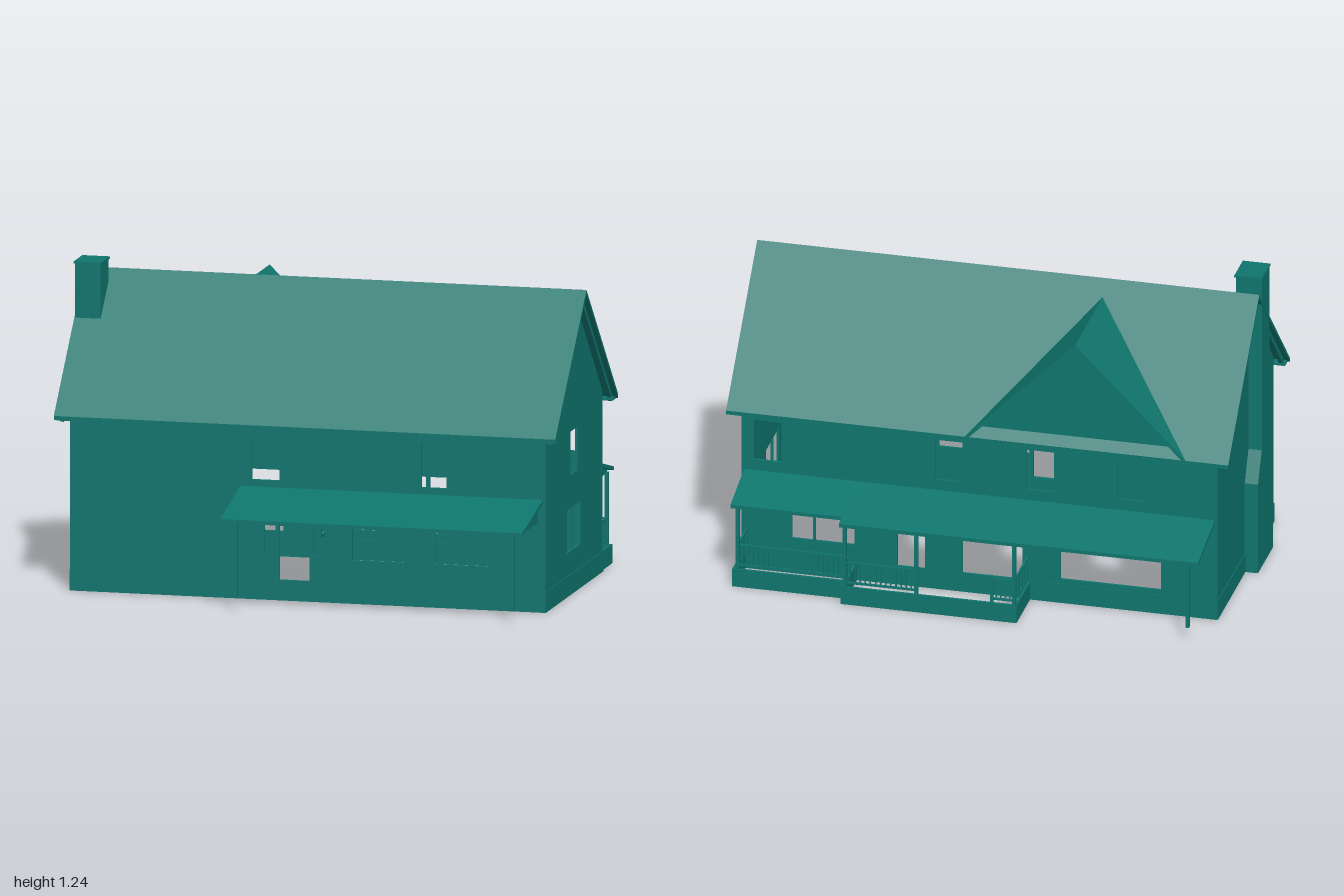
import * as THREE from 'three';

const mat = new THREE.MeshStandardMaterial({ color: 0x0f766e, side: THREE.DoubleSide, flatShading: true });

export function createModel() {
  const house = new THREE.Group();
  house.name = 'farmhouse';

  const add = (name, geo, parent = house) => {
    const m = new THREE.Mesh(geo, mat);
    m.name = name;
    parent.add(m);
    return m;
  };
  // Box given by its minimum and maximum corners
  const box = (name, x0, x1, y0, y1, z0, z1, parent) => {
    const m = add(name, new THREE.BoxGeometry(x1 - x0, y1 - y0, z1 - z0), parent);
    m.position.set((x0 + x1) / 2, (y0 + y1) / 2, (z0 + z1) / 2);
    return m;
  };
  // Outline with rectangular holes [u0, u1, v0, v1]
  const outline = (pts, holes = []) => {
    const s = new THREE.Shape(pts.map(p => new THREE.Vector2(...p)));
    for (const [a, b, c, d] of holes) {
      s.holes.push(new THREE.Path([[a, c], [a, d], [b, d], [b, c]].map(p => new THREE.Vector2(...p))));
    }
    return s;
  };
  const extrude = (pts, depth, holes) =>
    new THREE.ExtrudeGeometry(outline(pts, holes), { depth, bevelEnabled: false });
  // Section in (x, y) running along z
  const alongZ = (name, pts, z0, z1, holes, parent) => {
    const m = add(name, extrude(pts, z1 - z0, holes), parent);
    m.position.z = z0;
    return m;
  };
  // Section in (z, y) running along x
  const alongX = (name, pts, x0, x1, holes, parent) => {
    const m = add(name, extrude(pts, x1 - x0, holes), parent);
    m.rotation.y = -Math.PI / 2;
    m.position.x = x1;
    return m;
  };

  // Main dimensions
  const L = -0.945, R = 0.95, F = 0.42, B = -0.475, T = 0.01;
  const ridgeZ = -0.027;

  // Long walls with window and door openings
  const long = [[L, 0], [R, 0], [R, 0.7], [L, 0.7]];
  alongZ('frontWall', long, F - T, F, [
    [-0.22, -0.11, 0.47, 0.64], [0.455, 0.565, 0.47, 0.64],
    [-0.17, -0.125, 0.18, 0.34], [-0.11, 0.01, 0.08, 0.34], [0.025, 0.07, 0.18, 0.34],
    [0.18, 0.385, 0.17, 0.34], [0.51, 0.72, 0.17, 0.34],
  ]);
  const upperBack = [0.845, 0.125, -0.24, -0.6].map(x => [x - 0.055, x + 0.055, 0.47, 0.64]);
  alongZ('backWall', long, B, B + T, [
    ...upperBack,
    [-0.72, -0.32, 0.1, 0.34], [-0.17, 0.07, 0.08, 0.34], [0.22, 0.33, 0.08, 0.34], [0.5, 0.75, 0.15, 0.34],
  ]);
  box('windowMullion', 0.655, 0.665, 0.15, 0.34, B, B + T);

  // Gable walls
  const gable = [[B, 0], [F, 0], [F, 0.705], [ridgeZ, 1.165], [B, 0.705]];
  alongX('leftGableWall', gable, R - T, R, [[-0.08, 0.025, 0.47, 0.64], [-0.13, 0.08, 0.17, 0.34]]);
  alongX('rightGableWall', gable, L, L + T);
  box('windowMullion', R - T, R, 0.17, 0.34, -0.014, -0.006);

  // Foundation band
  box('foundationBand', L, R, 0, 0.08, F, F + 0.004);
  box('foundationBand', L, -0.2, 0, 0.08, B - 0.004, B);
  box('foundationBand', R, R + 0.003, 0, 0.08, B, F);
  box('foundationBand', L - 0.003, L, 0, 0.08, B, F);

  // Main roof with rake boards and eave soffits
  const chevron = (c, w0, w1, yEave, yTop, t) => [
    [c + w1, yEave], [c, yTop], [c - w0, yEave],
    [c - w0, yEave - t], [c, yTop - t], [c + w1, yEave - t],
  ];
  alongX('mainRoof', chevron(ridgeZ, 0.495, 0.487, 0.69, 1.19, 0.016), -1, 1);
  for (const x of [-0.98, 0.965]) {
    alongX('rakeBoard', chevron(ridgeZ, 0.475, 0.467, 0.695, 1.175, 0.03), x, x + 0.015);
  }
  box('frontSoffit', -0.99, 0.99, 0.672, 0.682, F, 0.458);
  box('backSoffit', -0.99, 0.99, 0.672, 0.682, -0.517, B);

  // Rear cross gable running into the main roof
  const gx = -0.39, gw = 0.44, gTop = 1.135, gBase = 0.69, gz = -0.522;
  const slopes = new THREE.BufferGeometry();
  slopes.setAttribute('position', new THREE.Float32BufferAttribute([
    gx, gTop, gz, gx - gw, gBase, gz, gx, gTop, -0.085,
    gx, gTop, gz, gx, gTop, -0.085, gx + gw, gBase, gz,
  ], 3));
  slopes.computeVertexNormals();
  add('crossGableRoof', slopes);
  alongZ('crossGableRake', chevron(gx, gw, gw, gBase, gTop, 0.018), gz, gz + 0.015);
  alongZ('crossGableWall', [[gx - gw + 0.01, gBase], [gx + gw - 0.01, gBase], [gx, gTop - 0.01]], B - 0.012, B);

  // Chimney with tapered shoulders and cap
  alongX('chimneyBreast', [[-0.04, 0], [0.2, 0], [0.2, 0.38], [0.14, 0.5], [0.14, 0.7],
    [0.02, 0.7], [0.02, 0.5], [-0.04, 0.38]], -0.998, L);
  box('chimneyStack', -0.998, -0.895, 0.7, 1.235, 0.02, 0.14);
  box('chimneyCap', -1, -0.89, 1.233, 1.241, 0.013, 0.15);

  // Lean-to porch roof: sloped slab, outer beam and closed ends
  const porchRoof = (name, x0, x1, zWall, zOut, yWall, yOut) => {
    const g = new THREE.Group();
    g.name = name;
    house.add(g);
    const s = Math.sign(zOut);
    alongX('porchSlab', [[zWall, yWall], [zOut, yOut], [zOut, yOut - 0.015], [zWall, yWall - 0.015]], x0, x1, [], g);
    const zb = zOut - s * 0.03;
    box('porchBeam', x0 + 0.02, x1 - 0.02, 0.352, yOut, Math.min(zb, zb - s * 0.03), Math.max(zb, zb - s * 0.03), g);
    for (const x of [x0 + 0.02, x1 - 0.03]) {
      alongX('porchEnd', [[zWall, 0.352], [zb, 0.352], [zb, yOut - 0.006], [zWall, yWall - 0.012]], x, x + 0.01, [], g);
    }
  };
  porchRoof('frontPorchRoof', -0.265, 0.94, F, 0.74, 0.443, 0.37);
  porchRoof('backPorchRoof', -0.935, 0.495, B, -0.745, 0.425, 0.368);
  porchRoof('backSidePorchRoof', 0.495, 0.94, B, -0.69, 0.425, 0.372);

  // Posts
  const post = (x, z, y0) => box('porchPost', x - 0.007, x + 0.007, y0, 0.36, z - 0.007, z + 0.007);
  for (const x of [-0.215, 0.89]) post(x, 0.69, 0.06);
  for (const x of [-0.19, 0.2, 0.485]) post(x, -0.688, 0);
  post(-0.88, -0.688, 0.06);
  post(0.925, -0.635, 0);

  // Open deck skirts behind the house
  const skirt = (x0, x1, z0, z1) => box('deckSkirt', x0, x1, 0, 0.075, z0, z1);
  skirt(-0.2, 0.5, -0.695, -0.685);
  skirt(-0.2, -0.19, -0.685, B);
  skirt(0.49, 0.5, -0.685, B);
  skirt(0.5, 0.945, -0.645, -0.635);
  skirt(0.935, 0.945, -0.635, B);

  // Railings with balusters
  const railing = (x0, z0, x1, z1) => {
    const g = new THREE.Group();
    g.name = 'railing';
    house.add(g);
    const len = Math.hypot(x1 - x0, z1 - z0);
    for (const y of [0.092, 0.177]) {
      add('rail', new THREE.BoxGeometry(len, 0.007, 0.009), g).position.set(len / 2, y, 0);
    }
    const n = Math.round(len / 0.02);
    for (let i = 1; i < n; i++) {
      add('baluster', new THREE.BoxGeometry(0.005, 0.085, 0.005), g).position.set(len * i / n, 0.135, 0);
    }
    g.position.set(x0, 0, z0);
    g.rotation.y = -Math.atan2(z1 - z0, x1 - x0);
  };
  railing(0.2, -0.688, 0.485, -0.688);
  railing(-0.19, -0.688, -0.1, -0.688);
  railing(-0.19, -0.688, -0.19, B);
  railing(0.485, -0.688, 0.485, -0.635);
  railing(0.485, -0.637, 0.925, -0.637);
  railing(0.925, -0.637, 0.925, B);
  box('railPost', -0.106, -0.094, 0.07, 0.19, -0.694, -0.682);

  return house;
}
